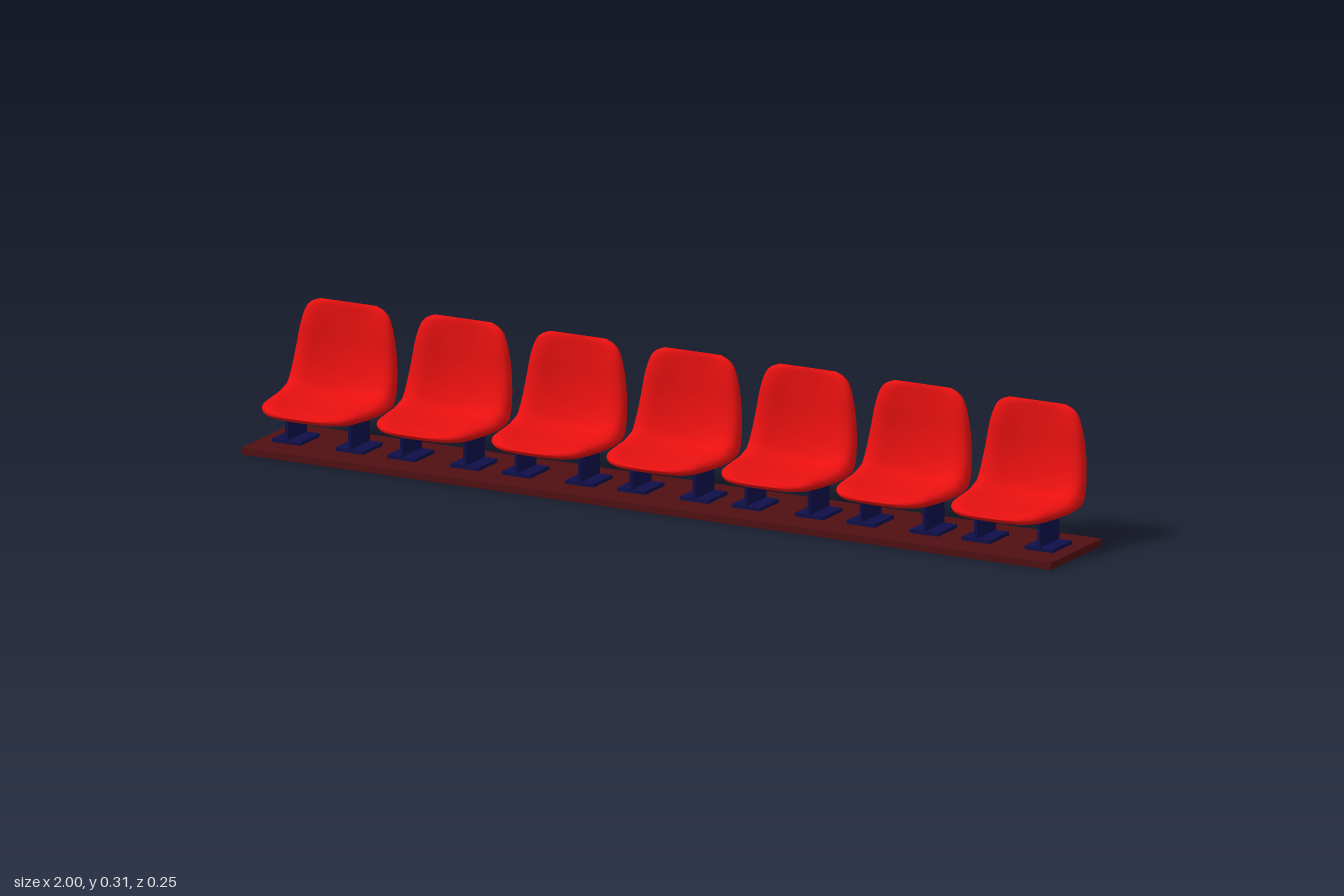
import * as THREE from 'three';

const red = new THREE.MeshStandardMaterial({ color: 0xe81010 });
const maroon = new THREE.MeshStandardMaterial({ color: 0x501012 });
const navy = new THREE.MeshStandardMaterial({ color: 0x10104a });

const SEATS = 7, PITCH = 0.284;

// Shell stations from the front lip to the top of the back:
// [outer z, outer y, inner z, inner y, half width]
const STATIONS = [
  [0.125, 0.099, 0.125, 0.101, 0.04],
  [0.117, 0.092, 0.115, 0.107, 0.078],
  [0.100, 0.086, 0.098, 0.111, 0.102],
  [0.070, 0.082, 0.075, 0.116, 0.118],
  [0.020, 0.080, 0.030, 0.1165, 0.128],
  [-0.040, 0.079, -0.010, 0.119, 0.132],
  [-0.085, 0.081, -0.035, 0.128, 0.132],
  [-0.100, 0.092, -0.052, 0.138, 0.131],
  [-0.112, 0.130, -0.068, 0.172, 0.128],
  [-0.121, 0.190, -0.077, 0.215, 0.122],
  [-0.121, 0.240, -0.081, 0.255, 0.115],
  [-0.115, 0.285, -0.087, 0.288, 0.104],
  [-0.108, 0.303, -0.092, 0.304, 0.090],
  [-0.101, 0.312, -0.099, 0.312, 0.070],
];

// Dished cross-section: [fraction of half width, fraction from outer to inner]
const HALF = [[0.5, 0.04], [0.85, 0.2], [1, 0.6], [0.92, 0.94], [0.76, 0.98], [0.45, 0.75]];
const SECTION = [
  [0, 0], ...HALF, [0, 0.62],
  ...HALF.map(([u, s]) => [-u, s]).reverse(),
];

function seatGeometry(rows = 42, cols = 36) {
  const section = new THREE.CatmullRomCurve3(
    SECTION.map(([u, s]) => new THREE.Vector3(u, s, 0)), true, 'centripetal');
  const outer = new THREE.CatmullRomCurve3(
    STATIONS.map(([z, y, , , w]) => new THREE.Vector3(w, y, z)), false, 'catmullrom');
  const inner = new THREE.CatmullRomCurve3(
    STATIONS.map(([, , z, y, w]) => new THREE.Vector3(w, y, z)), false, 'catmullrom');
  const pos = [], index = [];
  for (let r = 0; r <= rows; r++) {
    const a = outer.getPoint(r / rows), b = inner.getPoint(r / rows);
    for (let c = 0; c < cols; c++) {
      const p = section.getPoint(c / cols);
      const q = a.clone().lerp(b, p.y);
      pos.push(p.x * a.x, q.y, q.z);
    }
  }
  const at = (r, c) => r * cols + (c % cols);
  for (let r = 0; r < rows; r++) {
    for (let c = 0; c < cols; c++) {
      index.push(at(r, c), at(r + 1, c), at(r, c + 1));
      index.push(at(r, c + 1), at(r + 1, c), at(r + 1, c + 1));
    }
  }
  // close the lip and the top edge
  const lip = pos.length / 3, top = lip + 1;
  pos.push(0, 0.1, 0.125, 0, 0.312, -0.1);
  for (let c = 0; c < cols; c++) {
    index.push(lip, at(0, c), at(0, c + 1));
    index.push(top, at(rows, c + 1), at(rows, c));
  }
  const g = new THREE.BufferGeometry();
  g.setAttribute('position', new THREE.Float32BufferAttribute(pos, 3));
  g.setIndex(index);
  g.computeVertexNormals();
  return g;
}

function box(name, material, w, h, d, x, y, z) {
  const mesh = new THREE.Mesh(new THREE.BoxGeometry(w, h, d), material);
  mesh.name = name;
  mesh.position.set(x, y, z);
  return mesh;
}

export function createModel() {
  const model = new THREE.Group();
  model.name = 'seatRow';

  // long floor board
  model.add(box('baseBoard', maroon, 2, 0.016, 0.23, 0, 0.008, -0.005));

  const shell = seatGeometry();
  for (let i = 0; i < SEATS; i++) {
    const seat = new THREE.Group();
    seat.name = 'seat';
    seat.position.x = (i - (SEATS - 1) / 2) * PITCH;

    const shellMesh = new THREE.Mesh(shell, red);
    shellMesh.name = 'seatShell';
    seat.add(shellMesh);

    // thin plate legs on flat feet
    for (const side of [-1, 1]) {
      const x = side * 0.078;
      seat.add(box('legPlate', navy, 0.007, 0.07, 0.086, x, 0.051, -0.0055));
      seat.add(box('legFoot', navy, 0.07, 0.008, 0.086, x, 0.02, -0.0055));
    }
    model.add(seat);
  }
  return model;
}
